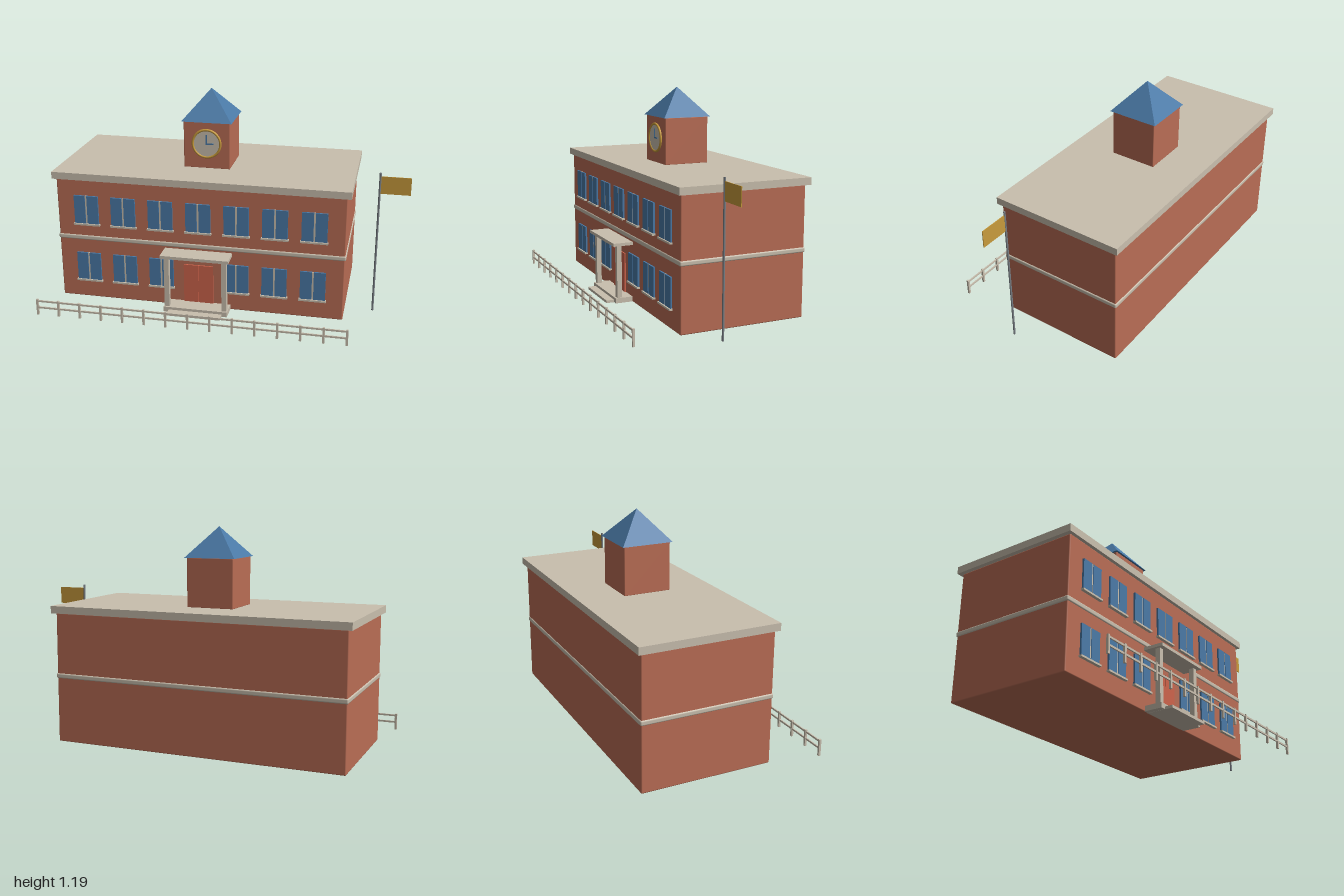
import * as THREE from 'three';
import { RoundedBoxGeometry } from 'three/addons/geometries/RoundedBoxGeometry.js';

const material = (name, color, side = THREE.FrontSide) => {
  const m = new THREE.MeshStandardMaterial({ color, side });
  m.name = name;
  return m;
};

export function createModel() {
  const brick = material('brick', 0xb96d55);
  const stone = material('stone', 0xc9bfae);
  const blue = material('blue', 0x4a79a6);
  const red = material('door red', 0xcd634b);
  const gold = material('gold', 0xc89b3c);
  const steel = material('steel', 0x7a8086);

  const model = new THREE.Group();
  model.name = 'schoolhouse';
  const group = (name, parent = model) => {
    const g = new THREE.Group();
    g.name = name;
    parent.add(g);
    return g;
  };
  const add = (name, geometry, mat, x, y, z, parent = model) => {
    const mesh = new THREE.Mesh(geometry, mat);
    mesh.name = name;
    mesh.position.set(x, y, z);
    parent.add(mesh);
    return mesh;
  };
  // Box given by its lower and upper limits on each axis
  const box = (name, mat, [x0, x1], [y0, y1], [z0, z1], parent = model, radius = 0) => {
    const size = [x1 - x0, y1 - y0, z1 - z0];
    const geometry = radius
      ? new RoundedBoxGeometry(...size, 2, radius)
      : new THREE.BoxGeometry(...size);
    return add(name, geometry, mat, (x0 + x1) / 2, (y0 + y1) / 2, (z0 + z1) / 2, parent);
  };

  const cx = -0.134; // centre line of the building
  const wall = 0.229; // front wall plane
  const around = (half, c = cx) => [c - half, c + half];

  // Main block, string course and flat roof
  box('walls', brick, around(0.813), [0, 0.718], [-0.487, wall], model, 0.006);
  box('stringCourse', stone, around(0.818), [0.356, 0.384], [-0.492, 0.234], model, 0.008);
  box('roofSlab', stone, around(0.834), [0.717, 0.757], [-0.508, 0.246]);

  // Windows: two panes, a mullion and a sill each; the door takes the lower middle bay
  const windows = group('windows');
  for (const y of [0.112, 0.458]) {
    for (let i = -3; i <= 3; i++) {
      if (i === 0 && y < 0.3) continue;
      const x = cx + i * 0.2145;
      const win = group('window', windows);
      for (const s of [-1, 1]) {
        box('pane', blue, around(0.0325, x + s * 0.0375), [y, y + 0.166], [wall - 0.004, wall + 0.01], win);
      }
      box('mullion', stone, around(0.005, x), [y, y + 0.166], [wall - 0.004, wall + 0.007], win);
      box('sill', stone, around(0.076, x), [y - 0.009, y + 0.001], [wall - 0.004, wall + 0.018], win);
    }
  }

  // Double door
  const door = group('door');
  for (const s of [-1, 1]) {
    box('doorLeaf', red, around(0.0415, cx + s * 0.0425), [0.03, 0.257], [wall - 0.004, wall + 0.008], door);
  }

  // Porch: steps, two columns and a canopy
  const porch = group('porch');
  box('lowerStep', stone, around(0.152), [0, 0.015], [wall - 0.004, 0.374], porch);
  box('landing', stone, around(0.182), [0.001, 0.03], [wall - 0.004, 0.329], porch);
  for (const s of [-1, 1]) {
    box('column', stone, around(0.014, cx + s * 0.163), [0.03, 0.331], [0.29, 0.318], porch);
  }
  box('canopy', stone, around(0.192), [0.33, 0.347], [wall - 0.004, 0.343], porch);

  // Clock tower with a four-sided roof
  const tower = group('clockTower');
  const tz = -0.13;
  box('towerWalls', brick, around(0.132), [0.755, 1.023], around(0.132, tz), tower, 0.004);
  const pyramid = new THREE.ConeGeometry(0.143 * Math.SQRT2, 0.165, 4, 1).toNonIndexed();
  pyramid.rotateY(Math.PI / 4);
  pyramid.computeVertexNormals();
  add('towerRoof', pyramid, blue, cx, 1.1045, tz, tower);

  // Clock: face, rim and hands showing three o'clock
  const clock = group('clock', tower);
  clock.position.set(cx, 0.9, tz + 0.132);
  const dial = new THREE.CylinderGeometry(0.078, 0.078, 0.008, 40).rotateX(Math.PI / 2);
  add('clockFace', dial, stone, 0, 0, 0.003, clock);
  add('clockRim', new THREE.TorusGeometry(0.079, 0.007, 10, 40), gold, 0, 0, 0.005, clock);
  box('minuteHand', blue, [-0.004, 0.004], [-0.004, 0.052], [0.006, 0.011], clock);
  box('hourHand', blue, [-0.004, 0.04], [-0.004, 0.004], [0.006, 0.0105], clock);

  // Fence: evenly spaced posts and two rails
  const fence = group('fence');
  const fz = 0.502;
  const posts = 15;
  for (let i = 0; i < posts; i++) {
    const x = -0.993 + (i * 1.719) / (posts - 1);
    box('fencePost', stone, around(0.006, x), [0, 0.092], around(0.006, fz), fence);
  }
  for (const y of [0.043, 0.082]) {
    box('fenceRail', stone, [-0.996, 0.729], around(0.005, y), around(0.0035, fz), fence);
  }

  // Flagpole and flag
  const flagpole = group('flagpole');
  add('pole', new THREE.CylinderGeometry(0.006, 0.006, 0.817, 12), steel, 0.835, 0.4085, 0.072, flagpole);
  box('flag', gold, [0.839, 1], [0.7, 0.798], around(0.002, 0.072), flagpole);

  return model;
}
